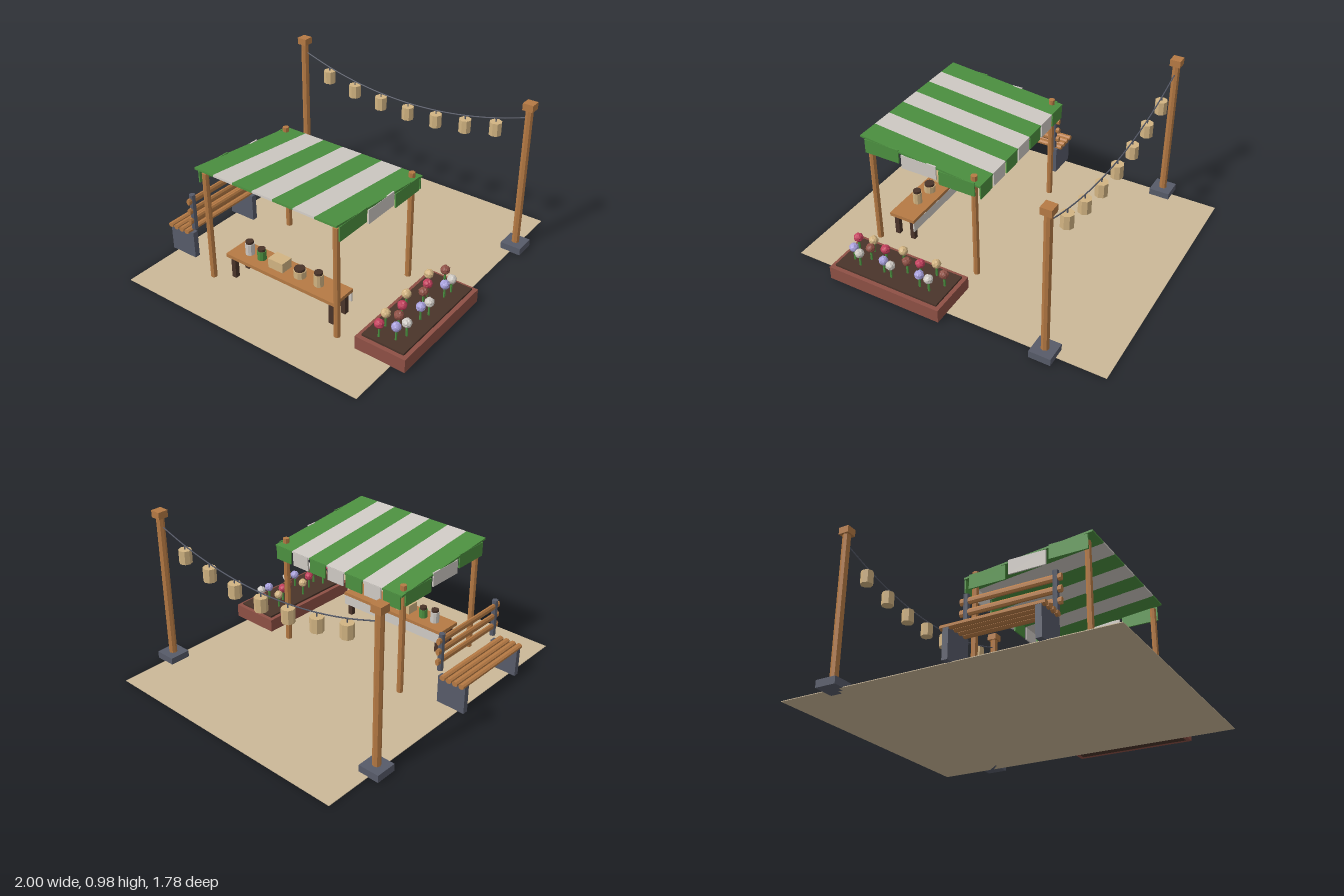
import * as THREE from 'three';

const mat = (name, color) => {
  const m = new THREE.MeshStandardMaterial({ color });
  m.name = name;
  return m;
};

export function createModel() {
  const C = {
    sand: mat('sand', 0xcbb898), wood: mat('wood', 0xb67a44), dark: mat('dark brown', 0x4a342a),
    slate: mat('slate', 0x575b69), brick: mat('brick red', 0x8e5045), green: mat('green', 0x4c9040),
    white: mat('off white', 0xcfcac4), cream: mat('lantern cream', 0xd2b482),
    crimson: mat('crimson', 0xc23f5c), lavender: mat('lavender', 0xa8a0dc),
  };
  const root = new THREE.Group();
  const group = (name) => {
    const g = new THREE.Group();
    g.name = name;
    root.add(g);
    return g;
  };
  const add = (parent, name, geo, material, x, y, z) => {
    const m = new THREE.Mesh(geo, material);
    m.name = name;
    m.position.set(x, y, z);
    parent.add(m);
    return m;
  };
  // Box and upright cylinder given by their bottom and top heights
  const box = (p, name, material, x, z, w, d, y0, y1) =>
    add(p, name, new THREE.BoxGeometry(w, y1 - y0, d), material, x, (y0 + y1) / 2, z);
  const rod = (p, name, material, x, z, r, y0, y1, sides = 8) =>
    add(p, name, faceted(new THREE.CylinderGeometry(r, r, y1 - y0, sides)), material, x, (y0 + y1) / 2, z);
  const faceted = (geo) => {
    const g = geo.index ? geo.toNonIndexed() : geo;
    g.computeVertexNormals();
    return g;
  };
  const B = 0.002; // parts rest just inside the ground sheet
  const ZC = -0.015;

  box(root, 'ground', C.sand, 0, ZC, 2, 1.63, 0, 0.004);

  // Lantern posts, sagging wire and lanterns
  const lights = group('lanternString');
  const PX = 0.643;
  for (const z of [0.8, -0.83]) {
    box(lights, 'postBase', C.slate, PX, z, 0.13, 0.13, B - 0.002, 0.045);
    rod(lights, 'lanternPost', C.wood, PX, z, 0.024, 0.045, 0.94);
    box(lights, 'postCap', C.wood, PX, z, 0.065, 0.065, 0.937, 0.98);
  }
  const wireY = (z) => 0.742 + 0.143 * ((z - ZC) / 0.815) ** 2;
  const wirePoints = [];
  for (let i = 0; i <= 8; i++) {
    const z = -0.83 + (1.63 * i) / 8;
    const y = wireY(z);
    wirePoints.push(new THREE.Vector3(PX, y, z));
    if (i === 0 || i === 8) continue;
    rod(lights, 'lanternHook', C.slate, PX, z, 0.004, y - 0.025, y, 6);
    rod(lights, 'lantern', C.cream, PX, z, 0.038, y - 0.105, y - 0.023);
  }
  add(lights, 'wire', new THREE.TubeGeometry(new THREE.CatmullRomCurve3(wirePoints), 32, 0.004, 5),
    C.slate, 0, 0, 0);

  // Stall: four posts and a sloping striped awning
  const stall = group('stall');
  for (const x of [-0.68, 0.005])
    for (const s of [-1, 1]) rod(stall, 'stallPost', C.wood, x, ZC + s * 0.452, 0.019, B, 0.7);
  const slope = -Math.atan2(0.078, 0.785);
  const stripe = 0.139;
  for (let i = 0; i < 7; i++) {
    const z = ZC + (i - 3) * stripe;
    const m = i % 2 ? C.white : C.green;
    const panel = add(stall, 'awningStripe', new THREE.BoxGeometry(0.789, 0.012, stripe), m, -0.332, 0.698, z);
    panel.rotation.z = slope;
    box(stall, 'frontValance', m, 0.058, z, 0.009, 0.12, 0.575, 0.662);
  }
  for (const s of [-1, 1])
    for (let i = 0; i < 3; i++) {
      const top = 0.724 - i * 0.025;
      box(stall, 'sideValance', i === 1 ? C.white : C.green, -0.582 + i * 0.247, ZC + s * 0.484,
        0.23, 0.009, top - 0.088, top);
    }

  // Counter with cloth and goods
  const table = group('table');
  const TX = -0.55;
  box(table, 'tableTop', C.wood, TX, -0.008, 0.17, 0.784, 0.143, 0.165);
  box(table, 'tableCloth', C.white, TX + 0.081, -0.008, 0.009, 0.778, 0.08, 0.144);
  for (const x of [-0.055, 0.055])
    for (const z of [0.348, -0.363]) box(table, 'tableLeg', C.dark, TX + x, z, 0.03, 0.03, B, 0.144);
  const jars = [[0.213, 0.029, 0.238, C.cream], [0.08, 0.037, 0.208, C.cream],
    [-0.2, 0.027, 0.222, C.green], [-0.29, 0.028, 0.237, C.white]];
  for (const [z, r, top, m] of jars) {
    rod(table, 'jar', m, TX, z, r, 0.165, top, 10);
    rod(table, 'jarLid', C.dark, TX, z, r * 0.85, top, top + 0.016, 10);
  }
  box(table, 'crate', C.cream, TX, -0.066, 0.08, 0.105, 0.165, 0.225);

  // Bench facing backwards
  const bench = group('bench');
  const slat = (name, y, z, ry, rz) => {
    const geo = new THREE.CylinderGeometry(1, 1, 0.59, 8).rotateZ(Math.PI / 2).rotateX(Math.PI / 8);
    add(bench, name, faceted(geo.scale(1, ry, rz)), C.wood, -0.337, y, z);
  };
  for (let i = 0; i < 4; i++) slat('seatSlat', 0.183, -0.853 + i * 0.043, 0.016, 0.019);
  for (let i = 0; i < 3; i++) slat('backSlat', 0.27 + i * 0.066, -0.683, 0.021, 0.013);
  for (const x of [-0.597, -0.078]) {
    box(bench, 'benchEnd', C.slate, x, -0.777, 0.035, 0.185, B, 0.178);
    rod(bench, 'backPost', C.slate, x, -0.682, 0.018, 0.207, 0.442);
  }

  // Planter box with soil
  const planter = group('planter');
  const PC = [-0.337, 0.729];
  for (const s of [-1, 1]) {
    box(planter, 'planterLongSide', C.brick, PC[0], PC[1] + s * 0.145, 0.735, 0.026, B, 0.086);
    box(planter, 'planterShortSide', C.brick, PC[0] + s * 0.3545, PC[1], 0.026, 0.264, B, 0.086);
  }
  box(planter, 'soil', C.dark, PC[0], PC[1], 0.684, 0.265, B, 0.098);

  // Pompom flowers: a sphere with alternating bumps
  const head = new THREE.IcosahedronGeometry(0.027, 2);
  const pos = head.attributes.position;
  const v = new THREE.Vector3();
  for (let i = 0; i < pos.count; i++) {
    v.fromBufferAttribute(pos, i);
    v.multiplyScalar(1 + 0.13 * Math.sin(v.x * 290 + 1) * Math.sin(v.y * 270 + 2) * Math.sin(v.z * 310 + 1));
    pos.setXYZ(i, v.x, v.y, v.z);
  }
  head.computeVertexNormals();
  const flowers = [
    [C.crimson, [-0.642, 0.682], [-0.444, 0.692], [-0.203, 0.698]],
    [C.cream, [-0.551, 0.66], [-0.348, 0.655], [-0.123, 0.655]],
    [C.brick, [-0.524, 0.725], [-0.278, 0.719], [-0.037, 0.708]],
    [C.lavender, [-0.61, 0.767], [-0.396, 0.778], [-0.155, 0.778]],
    [C.white, [-0.551, 0.794], [-0.337, 0.794], [-0.091, 0.783]],
  ];
  flowers.forEach(([m, ...spots], k) => spots.forEach(([x, z], j) => {
    rod(planter, 'flowerStem', C.green, x, z, 0.007, 0.095, 0.17, 6);
    add(planter, 'flowerHead', head, m, x, 0.183, z).rotation.y = k + j * 2;
  }));

  return root;
}
